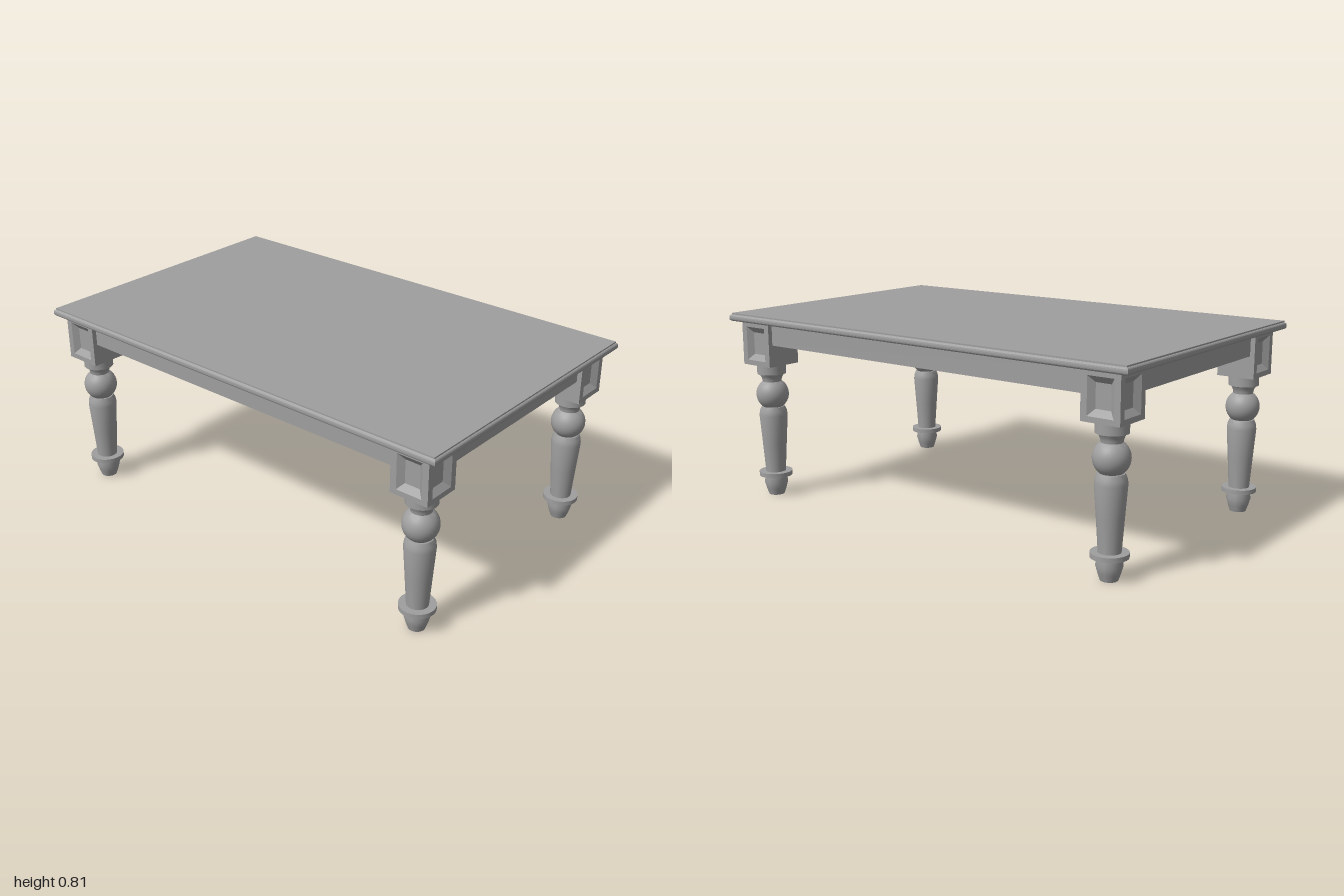
import * as THREE from 'three';
import { mergeGeometries, toCreasedNormals } from 'three/addons/utils/BufferGeometryUtils.js';

const material = new THREE.MeshStandardMaterial({ color: 0x9f9f9f });
const LEG_X = 0.511, LEG_Z = 0.874;
const BLOCK = { size: 0.163, bottom: 0.589, top: 0.776 };

function addMesh(parent, name, geometry, y = 0) {
  const mesh = new THREE.Mesh(geometry, material);
  mesh.name = name;
  mesh.position.y = y;
  parent.add(mesh);
}

// Face in the XY plane with a bevelled, sunken panel, made from nested rectangles
function sunkenPanel(halfW, halfH) {
  const rings = [[halfW, halfH, 0], [0.055, 0.072, 0], [0.032, 0.047, -0.02], [0, 0, -0.02]];
  const corners = [[-1, -1], [1, -1], [1, 1], [-1, 1]];
  const points = [];
  for (let r = 0; r < rings.length - 1; r++) {
    for (let i = 0; i < 4; i++) {
      const at = (ring, c) => new THREE.Vector3(
        ring[0] * corners[c % 4][0], ring[1] * corners[c % 4][1], ring[2]);
      const a = at(rings[r], i), b = at(rings[r], i + 1);
      const c = at(rings[r + 1], i + 1), d = at(rings[r + 1], i);
      points.push(a, b, c);
      if (r < rings.length - 2) points.push(a, c, d);
    }
  }
  const geometry = new THREE.BufferGeometry().setFromPoints(points);
  geometry.computeVertexNormals();
  return geometry;
}

// Square block: plain on four sides, sunken panels on the outer +x and +z sides
function blockGeometry() {
  const s = BLOCK.size, h = BLOCK.top - BLOCK.bottom;
  const box = new THREE.BoxGeometry(s, h, s);
  const index = Array.from(box.index.array);
  box.setIndex(index.slice(6, 24).concat(index.slice(30, 36)));
  const plain = box.toNonIndexed();
  plain.deleteAttribute('uv');
  const front = sunkenPanel(s / 2, h / 2).translate(0, 0, s / 2);
  const side = front.clone().rotateY(Math.PI / 2);
  return mergeGeometries([plain, front, side]);
}

// Turned leg profile, from the foot up to the collar
function turnedLegGeometry() {
  const profile = [
    [0, 0], [0.034, 0], [0.043, 0.027], [0.051, 0.055], [0.047, 0.087],
    [0.072, 0.087], [0.072, 0.106], [0.043, 0.106],
    [0.052, 0.235], [0.061, 0.36], [0.058, 0.38], [0.05, 0.399], [0.039, 0.399],
  ];
  // Ball
  for (let i = 0; i <= 12; i++) {
    const a = THREE.MathUtils.lerp(-0.95, 0.95, i / 12);
    profile.push([0.07 * Math.cos(a), 0.454 + 0.07 * Math.sin(a)]);
  }
  // Neck and collar
  profile.push([0.042, 0.52], [0.045, 0.53], [0.052, 0.542],
    [0.062, 0.545], [0.062, 0.59]);
  const lathe = new THREE.LatheGeometry(profile.map(([r, y]) => new THREE.Vector2(r, y)), 32);
  return toCreasedNormals(lathe, 0.6);
}

// Slab with a rounded rim
function rimGeometry() {
  const bevel = 0.012, x = 0.625 - bevel, z = 1 - bevel;
  const outline = new THREE.Shape([
    new THREE.Vector2(-x, -z), new THREE.Vector2(x, -z),
    new THREE.Vector2(x, z), new THREE.Vector2(-x, z),
  ]);
  const slab = new THREE.ExtrudeGeometry(outline, {
    depth: 0.006, bevelEnabled: true, bevelThickness: 0.012, bevelSize: bevel, bevelSegments: 4,
  });
  return slab.rotateX(-Math.PI / 2);
}

export function createModel() {
  const table = new THREE.Group();
  table.name = 'table';

  // Top: rounded slab with a thin, slightly smaller plate stepped on it
  addMesh(table, 'tabletopRim', rimGeometry(), BLOCK.top + 0.012);
  addMesh(table, 'tabletopPlate', new THREE.BoxGeometry(1.234, 0.012, 1.984), 0.805);

  // Apron, set slightly back from the block faces
  const inset = BLOCK.size / 2 - 0.02;
  const apronH = 0.096;
  addMesh(table, 'apron',
    new THREE.BoxGeometry(2 * (LEG_X + inset), apronH, 2 * (LEG_Z + inset)), 0.683 + apronH / 2);

  // Four legs, each turned so its panels face outwards
  const turned = turnedLegGeometry();
  const block = blockGeometry();
  const legs = [
    ['frontLeft', 1, 1, 0], ['frontRight', -1, 1, -Math.PI / 2],
    ['backRight', -1, -1, Math.PI], ['backLeft', 1, -1, Math.PI / 2],
  ];
  for (const [name, sx, sz, angle] of legs) {
    const leg = new THREE.Group();
    leg.name = name + 'Leg';
    addMesh(leg, 'turnedLeg', turned);
    addMesh(leg, 'panelledBlock', block, (BLOCK.bottom + BLOCK.top) / 2);
    leg.position.set(sx * LEG_X, 0, sz * LEG_Z);
    leg.rotation.y = angle;
    table.add(leg);
  }
  return table;
}
